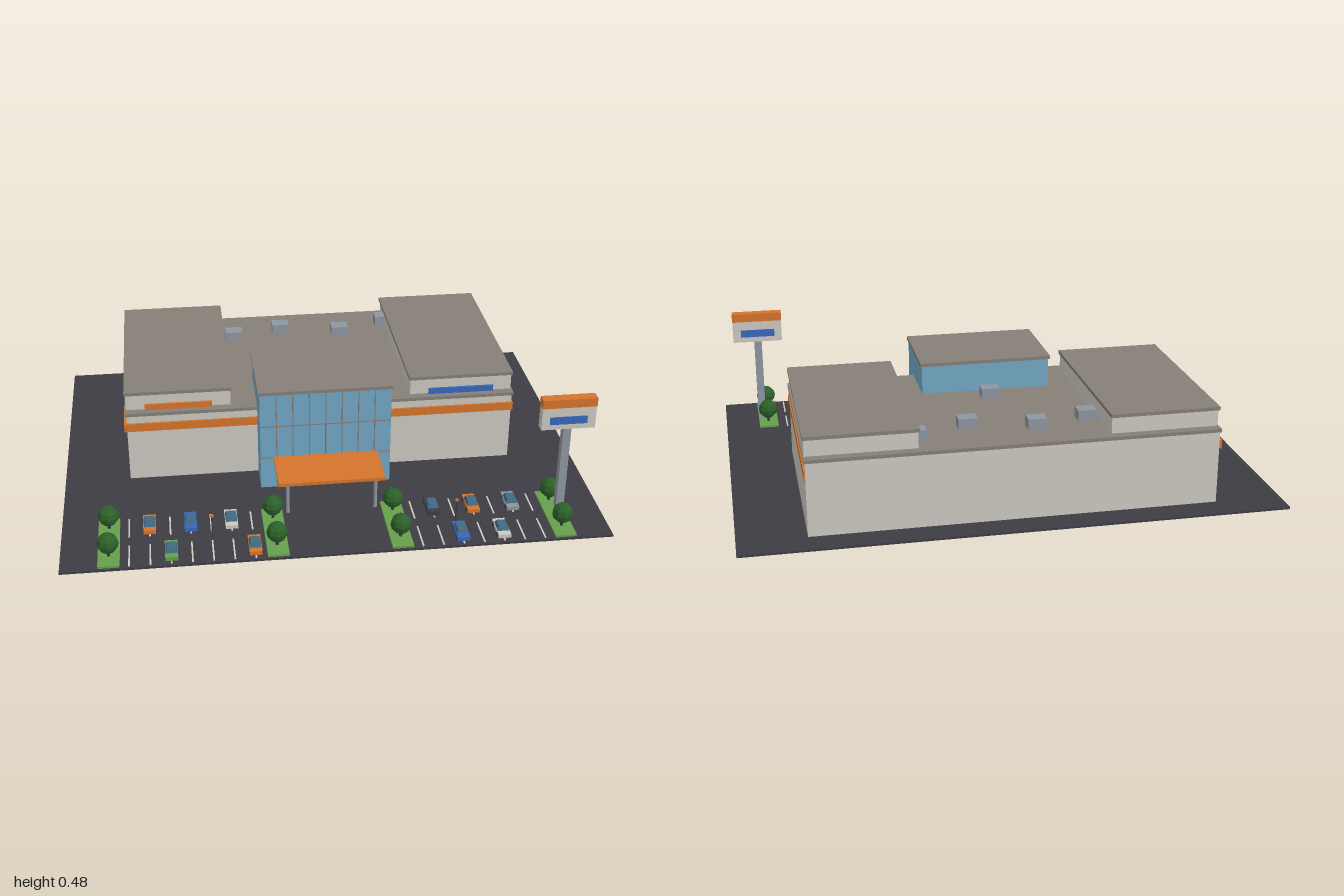
import * as THREE from 'three';

const mat = (name, color) => {
  const m = new THREE.MeshStandardMaterial({ color });
  m.name = name;
  return m;
};

export function createModel() {
  const asphalt = mat('asphalt', 0x3e3c44);
  const wall = mat('wall', 0xcbc8c0);
  const roof = mat('roof', 0x857f78);
  const orange = mat('orange', 0xd4742c);
  const glass = mat('glass', 0x72a6c4);
  const darkGlass = mat('darkGlass', 0x416a82);
  const metal = mat('metal', 0x8d96a0);
  const grass = mat('grass', 0x669f4b);
  const leaf = mat('leaf', 0x2c6029);
  const blue = mat('blue', 0x3768bd);
  leaf.flatShading = true;

  const model = new THREE.Group();
  model.name = 'shoppingCentre';
  const add = (name, geo, material, parent = model) => {
    const m = new THREE.Mesh(geo, material);
    m.name = name;
    parent.add(m);
    return m;
  };
  // box given by its limits along each axis
  const box = (name, material, x0, x1, y0, y1, z0, z1, parent) => {
    const g = new THREE.BoxGeometry(x1 - x0, y1 - y0, z1 - z0);
    g.translate((x0 + x1) / 2, (y0 + y1) / 2, (z0 + z1) / 2);
    return add(name, g, material, parent);
  };
  const post = (name, material, r, x, y0, y1, z, parent) => {
    const g = new THREE.CylinderGeometry(r, r, y1 - y0, 8);
    g.translate(x, (y0 + y1) / 2, z);
    return add(name, g, material, parent);
  };
  const G = 0.008; // ground level

  box('ground', asphalt, -1, 1, 0, G, -0.75, 0.75);

  // main hall
  box('hallWalls', wall, -0.75, 0.75, G, 0.285, -0.65, 0.15);
  box('hallRoof', roof, -0.755, 0.755, 0.285, 0.298, -0.655, 0.158);
  box('frontBandRight', orange, -0.76, -0.25, 0.22, 0.253, 0.15, 0.158);
  box('frontBandLeft', orange, 0.25, 0.755, 0.22, 0.253, 0.15, 0.158);
  box('sideBandRight', orange, -0.76, -0.75, 0.22, 0.253, -0.65, 0.158);
  box('sideBandLeft', orange, 0.75, 0.755, 0.22, 0.253, -0.65, 0.158);

  // raised wings with store signs
  for (const [name, x, material] of [['right', -0.55, orange], ['left', 0.55, blue]]) {
    box(name + 'WingWalls', wall, x - 0.2, x + 0.2, 0.298, 0.36, -0.62, 0.125);
    box(name + 'WingRoof', roof, x - 0.205, x + 0.205, 0.36, 0.373, -0.628, 0.13);
    box(name + 'WingSign', material, x - 0.128, x + 0.128, 0.298, 0.321, 0.125, 0.134);
  }

  // glass entrance hall
  box('entranceGlass', glass, -0.25, 0.25, G, 0.41, -0.073, 0.276);
  box('entranceRoof', roof, -0.256, 0.256, 0.41, 0.423, -0.08, 0.282);
  for (let i = 1; i < 8; i++) {
    const x = -0.25 + i * 0.0625;
    box('mullion', roof, x - 0.002, x + 0.002, G, 0.41, 0.276, 0.279);
  }
  for (const y of [0.14, 0.275]) {
    box('transom', roof, -0.25, 0.25, y - 0.002, y + 0.002, 0.276, 0.279);
  }
  box('entranceDoors', darkGlass, -0.1, 0.1, G, 0.086, 0.276, 0.283);

  // canopy
  box('canopy', orange, -0.2, 0.2, 0.13, 0.143, 0.276, 0.475);
  for (const x of [-0.165, 0.165]) post('canopyPost', metal, 0.007, x, G, 0.13, 0.46);

  // rooftop units
  for (const [x, z] of [[-0.3, -0.45], [-0.1, -0.5], [0.147, -0.45], [0.345, -0.53], [0, -0.15]]) {
    box('rooftopUnit', metal, x - 0.035, x + 0.035, 0.298, 0.338, z - 0.027, z + 0.027);
  }

  // roadside sign
  const sign = new THREE.Group();
  sign.name = 'roadsideSign';
  model.add(sign);
  box('signPost', metal, 0.834, 0.864, G, 0.36, 0.535, 0.565, sign);
  box('signPanel', wall, 0.75, 0.95, 0.36, 0.448, 0.532, 0.568, sign);
  box('signTop', orange, 0.749, 0.951, 0.448, 0.482, 0.53, 0.57, sign);
  box('signFront', blue, 0.78, 0.918, 0.382, 0.412, 0.568, 0.572, sign);
  box('signBack', blue, 0.78, 0.918, 0.382, 0.412, 0.528, 0.532, sign);

  // planted islands and trees
  for (const x of [-0.827, -0.225, 0.225, 0.825]) {
    box('island', grass, x - 0.039, x + 0.039, G, 0.016, 0.44, 0.742);
    for (const z of [0.5, 0.676]) {
      post('trunk', asphalt, 0.006, x, 0.016, 0.05, z);
      const crown = add('treeCrown', new THREE.SphereGeometry(0.039, 8, 6), leaf);
      crown.position.set(x, 0.07, z);
    }
  }

  // parking stalls
  for (const start of [-0.755, 0.299]) {
    for (let i = 0; i < 7; i++) {
      const x = start + i * 0.075;
      for (const [z0, z1] of [[0.44, 0.56], [0.612, 0.74]]) {
        box('stallLine', wall, x - 0.003, x + 0.003, G, 0.0095, z0, z1);
      }
    }
  }

  // cars: low body, tapered glass cabin, four wheels
  const cabinGeo = new THREE.BoxGeometry(0.042, 0.015, 0.058);
  const p = cabinGeo.attributes.position;
  for (let i = 0; i < p.count; i++) {
    if (p.getY(i) > 0) p.setXYZ(i, p.getX(i) * 0.8, p.getY(i), p.getZ(i) * 0.75);
  }
  cabinGeo.computeVertexNormals();
  const wheelGeo = new THREE.CylinderGeometry(0.009, 0.009, 0.008, 10).rotateZ(Math.PI / 2);
  const addCar = (x, z, paint) => {
    const car = new THREE.Group();
    car.name = 'car';
    car.position.set(x, 0, z);
    model.add(car);
    box('carBody', paint, -0.023, 0.023, 0.013, 0.028, -0.054, 0.054, car);
    add('carCabin', cabinGeo, darkGlass, car).position.set(0, 0.0355, 0);
    for (const sx of [-1, 1]) for (const sz of [-1, 1]) {
      add('carWheel', wheelGeo, asphalt, car).position.set(sx * 0.022, 0.017, sz * 0.034);
    }
  };
  const near = 0.676, far = 0.5;
  [[-0.68, far, orange], [-0.53, far, blue], [-0.38, far, wall], [-0.604, near, grass],
    [-0.305, near, orange], [0.374, far, asphalt], [0.524, far, orange], [0.674, far, metal],
    [0.449, near, blue], [0.6, near, wall]].forEach((c) => addCar(...c));

  // car park lamps
  for (const x of [-0.453, 0.448]) {
    post('lampPost', asphalt, 0.003, x, G, 0.095, 0.588);
    add('lampHead', new THREE.SphereGeometry(0.007, 8, 6), orange).position.set(x, 0.097, 0.588);
  }

  return model;
}
